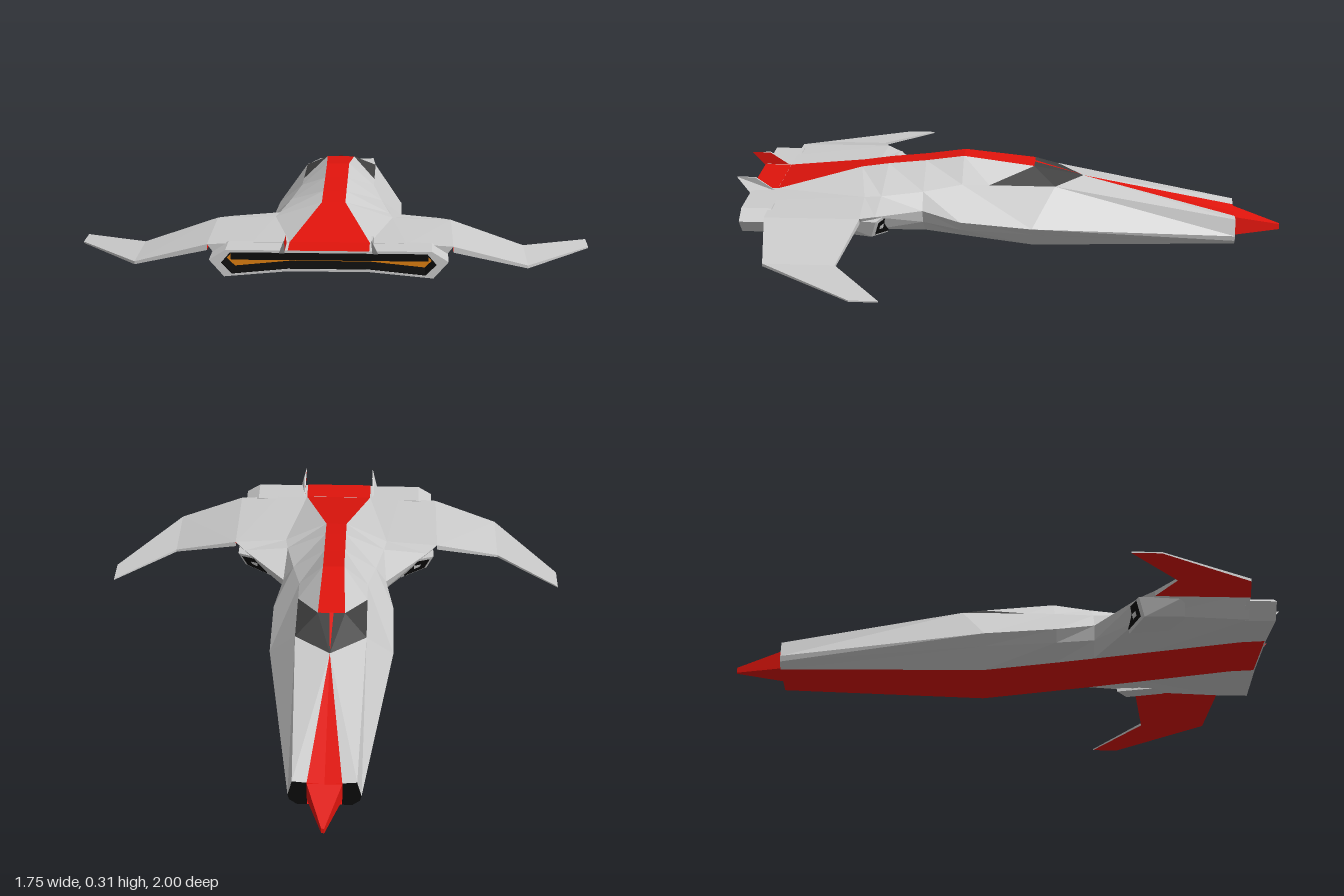
import * as THREE from 'three';
import { ConvexGeometry } from 'three/addons/geometries/ConvexGeometry.js';

const mat = (color) => new THREE.MeshStandardMaterial({ color, flatShading: true, side: THREE.DoubleSide });
const GREY = mat(0xcccccc), RED = mat(0xe0140c), GLASS = mat(0x404040), BLACK = mat(0x0c0c0c), ORANGE = mat(0xe08010);

export function createModel() {
  const model = new THREE.Group();
  const add = (name, geometry, material) => {
    const mesh = new THREE.Mesh(geometry, material);
    mesh.name = name;
    model.add(mesh);
    return mesh;
  };

  // Triangles given for the +x side, repeated mirrored on the -x side
  const mirrored = (name, material, tris) => {
    const pos = [];
    for (const [a, b, c] of tris) {
      pos.push(...a, ...b, ...c);
      for (const [x, y, z] of [a, c, b]) pos.push(-x, y, z);
    }
    const g = new THREE.BufferGeometry();
    g.setAttribute('position', new THREE.Float32BufferAttribute(pos, 3));
    g.computeVertexNormals();
    return add(name, g, material);
  };
  // Skin between two rails of equal length
  const skin = (p, q) => p.slice(1).flatMap((p1, i) => [[p[i], p1, q[i]], [q[i], p1, q[i + 1]]]);
  const strip = (name, material, p, q) => mirrored(name, material, skin(p, q));
  const panel = (name, material, pts) =>
    mirrored(name, material, pts.slice(2).map((c, i) => [pts[0], pts[i + 1], c]));
  const centre = (rail) => rail.map(([, y, z]) => [0, y, z]);

  // Fuselage rails, running nose to tail
  const ridge = [[0.05, 0.28, -0.09], [0.04, 0.31, 0.17], [0.04, 0.29, 0.31], [0.04, 0.275, 0.45],
    [0.04, 0.26, 0.55], [0.13, 0.2, 0.85]];
  const shoulder = [[0.11, 0.11, -0.83], [0.13, 0.23, -0.17], [0.13, 0.23, 0.17], [0.16, 0.21, 0.31],
    [0.19, 0.2, 0.46], [0.2, 0.2, 0.52], [0.25, 0.198, 0.85]];
  const waist = [[0.125, 0.05, -0.83], [0.23, 0.1, -0.09], [0.23, 0.12, 0.17], [0.2, 0.15, 0.31],
    [0.36, 0.185, 0.46], [0.4, 0.192, 0.51], [0.4, 0.19, 0.85]];
  const chine = [[0.12, 0.03, -0.83], [0.195, 0.065, -0.09], [0.2, 0.08, 0.17], [0.18, 0.1, 0.31],
    [0.31, 0.12, 0.46], [0.34, 0.125, 0.51], [0.34, 0.112, 0.85]];
  const keel = [[0.095, 0.01, -0.83], [0.13, 0, -0.09], [0.13, 0.032, 0.17], [0.13, 0.05, 0.31],
    [0.13, 0.07, 0.46], [0.13, 0.078, 0.52], [0.13, 0.122, 0.85]];
  const windowBack = [0.13, 0.23, 0.07];
  strip('topStripe', RED, centre(ridge), ridge);
  strip('roof', GREY, ridge, [windowBack, ...shoulder.slice(2)]);
  strip('upperSides', GREY, shoulder, waist);
  strip('lowerSides', GREY, waist, chine);
  strip('underSides', GREY, chine, keel);
  const bellyEnd = [0.13, 0.128, 0.94];
  strip('belly', RED, [...keel, bellyEnd], centre([...keel, bellyEnd]));
  panel('rearBulkhead', GREY, [ridge, shoulder, waist, chine, keel].map((r) => r[r.length - 1]).reverse());
  panel('rearBulkheadCentre', GREY, [[0, 0.2, 0.85], [0, 0.122, 0.85], keel[6], ridge[5]]);
  strip('tailStripe', RED, [[0, 0.201, 0.85], [0, 0.199, 0.95]], [[0.13, 0.201, 0.85], [0.13, 0.199, 0.95]]);

  // Nose deck with its tapering stripe
  const apex = [0, 0.23, -0.27], noseIn = [0.06, 0.105, -0.83];
  panel('noseDeck', GREY, [apex, shoulder[1], shoulder[0], noseIn]);
  panel('noseStripe', RED, [apex, noseIn, [0, 0.1, -0.83]]);

  // Canopy: front and side windows with a red centre bar
  panel('frontWindow', GLASS, [apex, [0, 0.28, -0.09], ridge[0], shoulder[1]]);
  panel('sideWindow', GLASS, [ridge[0], windowBack, shoulder[1]]);
  panel('canopyBar', RED, [[0, 0.232, -0.27], [0, 0.283, -0.09], [0.008, 0.283, -0.09]]);

  // Dark prong ends either side of the nose spike
  panel('prongEnd', BLACK, [noseIn, shoulder[0], waist[0], chine[0], keel[0], [0.06, 0.01, -0.83]]);
  const spike = [];
  for (const s of [-1, 1]) {
    spike.push([s * 0.06, 0.1, -0.83], [s * 0.06, 0.03, -0.83], [s * 0.005, 0.055, -1], [s * 0.005, 0.035, -1]);
  }
  const hull = (pts) => new ConvexGeometry(pts.map((p) => new THREE.Vector3(...p)));
  add('noseSpike', hull(spike), RED);

  // Swept, drooping wings
  const lead = [[0.4, 0.192, 0.51], [0.645, 0.118, 0.56], [0.875, 0.093, 0.38]];
  const trail = [[0.4, 0.19, 0.85], [0.645, 0.118, 0.81], [0.875, 0.093, 0.48]];
  const lower = (rail) => rail.map(([x, y, z], i) => [x, y - [0.02, 0.01, 0.005][i], z]);
  strip('wingTop', GREY, trail, lead);
  strip('wingUnderside', RED, lower(lead), lower(trail));
  strip('wingLeadingEdge', GREY, lead, lower(lead));
  strip('wingTrailingEdge', GREY, lower(trail), trail);
  panel('wingTip', GREY, [lead[2], trail[2], lower(trail)[2], lower(lead)[2]]);

  // Intakes tucked under the wing roots
  const mouth = [[0.26, 0.175, 0.41], [0.385, 0.175, 0.455], [0.36, 0.11, 0.475], [0.26, 0.09, 0.43]];
  const mouthBack = [[0.26, 0.18, 0.62], [0.385, 0.18, 0.62], [0.345, 0.12, 0.62], [0.26, 0.11, 0.62]];
  for (const s of [-1, 1]) {
    add('intake', hull([...mouth, ...mouthBack].map(([x, y, z]) => [s * x, y, z])), GREY);
  }
  const mid = [0.316, 0.137, 0.443];
  panel('intakeMouth', BLACK, mouth.map((p) => {
    const q = p.map((v, i) => mid[i] + (v - mid[i]) * 0.8);
    return [q[0], q[1], q[2] - 0.006];
  }));

  // Wide engine nozzle: shell, dark liner and glowing plate with a dark bar
  const outline = (half) => [...half, ...half.slice().reverse().map(([x, y]) => [-x, y])]
    .map(([x, y]) => new THREE.Vector2(x, y));
  const outer = outline([[0.33, 0.198], [0.383, 0.165], [0.335, 0.11], [0.13, 0.129]]);
  const inner = outline([[0.315, 0.19], [0.345, 0.155], [0.31, 0.119], [0.13, 0.137]]);
  const core = outline([[0.312, 0.187], [0.341, 0.155], [0.308, 0.122], [0.13, 0.14]]);
  const ring = (out, hole, depth, z) => {
    const shape = new THREE.Shape(out);
    if (hole) shape.holes.push(new THREE.Path(hole));
    return new THREE.ExtrudeGeometry(shape, { depth, bevelEnabled: false }).translate(0, 0, z);
  };
  add('engineShell', ring(outer, inner, 0.11, 0.835), GREY);
  add('engineLiner', ring(inner, core, 0.105, 0.838), BLACK);
  add('engineGlow', ring(core, null, 0.01, 0.85), ORANGE);
  const bar = add('engineBar', new THREE.BoxGeometry(0.64, 0.024, 0.02), BLACK);
  bar.position.set(0, 0.158, 0.865);

  // Small tail fins, red on the inner face
  const fin = [[0.19, 0.85], [0.245, 0.93], [0.245, 1], [0.19, 0.95]];
  const finIn = fin.map(([y, z], i) => [i % 3 ? 0.137 : 0.14, y, z]);
  const finOut = fin.map(([y, z], i) => [[0.142, 0.145, 0.139, 0.158][i], y, z]);
  panel('finInnerFace', RED, finIn.slice().reverse());
  panel('finOuterFace', GREY, finOut);
  strip('finEdge', GREY, [...finIn, finIn[0]], [...finOut, finOut[0]]);

  return model;
}
